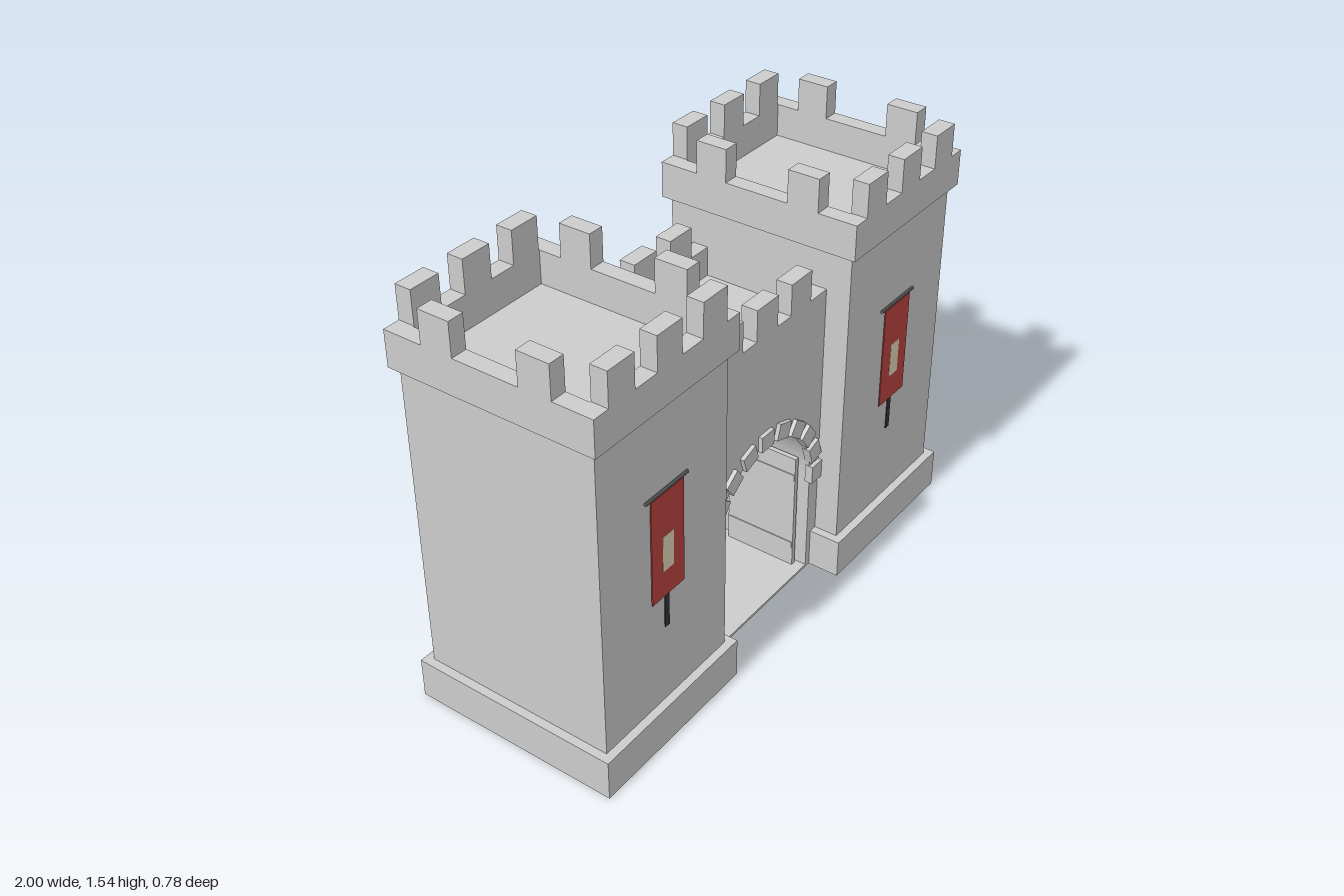
import * as THREE from 'three';

const mat = (color) => new THREE.MeshStandardMaterial({ color, flatShading: true });
const stone = mat(0xcccccc);
const shell = new THREE.MeshStandardMaterial({ color: 0xcccccc, flatShading: true, side: THREE.DoubleSide });
const cloth = mat(0xbb4440);
const cream = mat(0xe0d6b8);
const dark = mat(0x333333);
const iron = mat(0x666666);

function add(parent, name, geometry, material, x = 0, y = 0, z = 0) {
  const mesh = new THREE.Mesh(geometry, material);
  mesh.name = name;
  mesh.position.set(x, y, z);
  parent.add(mesh);
  return mesh;
}

// Box given by its centre in x and z, and its bottom and top heights
function block(parent, name, w, y0, y1, d, x = 0, z = 0, material = stone) {
  return add(parent, name, new THREE.BoxGeometry(w, y1 - y0, d), material, x, (y0 + y1) / 2, z);
}

const ARCH_R = 0.29, ARCH_Y = 0.42;

// Banner on a rod, hanging over an arrow slit; faces +z
function createBanner() {
  const g = new THREE.Group();
  g.name = 'bannerAndSlit';
  block(g, 'arrowSlit', 0.022, 0.45, 0.96, 0.006, 0, 0.36, dark);
  block(g, 'bannerCloth', 0.16, 0.585, 0.975, 0.004, 0, 0.367, cloth);
  block(g, 'bannerEmblem', 0.054, 0.683, 0.815, 0.003, 0, 0.3685, cream);
  const rod = add(g, 'bannerRod', new THREE.CylinderGeometry(0.006, 0.006, 0.205, 8), iron, 0, 0.983, 0.366);
  rod.rotation.z = Math.PI / 2;
  return g;
}

function createTower() {
  const g = new THREE.Group();
  g.name = 'tower';

  // Plinth, open underneath (the bottom face of the box is dropped)
  const plinth = new THREE.BoxGeometry(0.686, 0.15, 0.78);
  const index = Array.from(plinth.index.array);
  index.splice(18, 6);
  plinth.setIndex(index);
  add(g, 'plinth', plinth, shell, 0, 0.075, 0);

  block(g, 'towerBody', 0.624, 0.13, 1.3, 0.72);

  // Overhanging parapet ring
  const W = 0.336, D = 0.384, T = 0.06;
  const rect = (C, w, d) => new C([[-w, -d], [w, -d], [w, d], [-w, d]].map(([x, y]) => new THREE.Vector2(x, y)));
  const ring = rect(THREE.Shape, W, D);
  ring.holes.push(rect(THREE.Path, W - T, D - T));
  const ringGeo = new THREE.ExtrudeGeometry(ring, { depth: 0.13, bevelEnabled: false });
  ringGeo.rotateX(-Math.PI / 2);
  add(g, 'parapet', ringGeo, stone, 0, 1.29, 0);

  // Merlons: three front and back, two on each side
  for (const s of [-1, 1]) {
    for (const x of [-0.215, 0, 0.215]) block(g, 'merlon', 0.116, 1.42, 1.54, T, x, s * (D - T / 2));
    for (const z of [-0.18, 0.18]) block(g, 'merlon', T, 1.42, 1.54, 0.118, s * (W - T / 2), z);
  }

  const front = createBanner();
  const back = createBanner();
  back.rotation.y = Math.PI;
  g.add(front, back);
  return g;
}

function createGatehouse() {
  const g = new THREE.Group();
  g.name = 'gatehouse';

  // Wall block with an arched passage
  const s = new THREE.Shape();
  s.moveTo(-0.35, 0);
  s.lineTo(-ARCH_R, 0);
  s.lineTo(-ARCH_R, ARCH_Y);
  s.absarc(0, ARCH_Y, ARCH_R, Math.PI, 0, true);
  s.lineTo(ARCH_R, 0);
  s.lineTo(0.35, 0);
  s.lineTo(0.35, 1.03);
  s.lineTo(-0.35, 1.03);
  const wall = new THREE.ExtrudeGeometry(s, { depth: 0.54, bevelEnabled: false, curveSegments: 16 });
  add(g, 'gateWall', wall, stone, 0, 0, -0.27);
  block(g, 'passageFloor', 0.6, 0, 0.01, 0.54);

  for (const side of [-1, 1]) {
    // Parapet and merlons
    block(g, 'gateParapet', 0.7, 1.03, 1.14, 0.06, 0, side * 0.24);
    for (const x of [-0.193, 0, 0.193]) block(g, 'gateMerlon', 0.117, 1.14, 1.255, 0.06, x, side * 0.24);

    // Arch stones
    for (let i = 0; i <= 10; i++) {
      const a = (i / 10) * Math.PI, r = 0.315;
      const v = add(g, 'archStone', new THREE.BoxGeometry(0.06, 0.07, 0.03), stone,
        Math.cos(a) * r, ARCH_Y + Math.sin(a) * r, side * 0.27);
      v.rotation.z = a;
    }
  }
  return g;
}

// Open door leaf standing along the passage wall
function createDoor() {
  const g = new THREE.Group();
  g.name = 'doorLeaf';
  block(g, 'doorPanel', 0.018, 0.01, 0.48, 0.28, -0.27, -0.09);
  for (const y of [0.1, 0.4]) block(g, 'doorBand', 0.025, y - 0.012, y + 0.012, 0.275, -0.27, -0.09);
  return g;
}

function createPortcullis() {
  const g = new THREE.Group();
  g.name = 'portcullis';
  g.position.z = 0.05;
  const reach = (d) => Math.sqrt(ARCH_R * ARCH_R - d * d);
  for (let i = -3; i <= 3; i++) {
    const x = i * 0.082;
    block(g, 'portcullisBar', 0.01, 0.555, ARCH_Y + reach(x) + 0.005, 0.01, x, 0);
    const tip = add(g, 'portcullisSpike', new THREE.ConeGeometry(0.009, 0.03, 4), iron, x, 0.543, 0);
    tip.rotation.x = Math.PI;
  }
  for (const y of [0.565, 0.64]) {
    block(g, 'portcullisCrossbar', 2 * reach(y - ARCH_Y), y - 0.006, y + 0.006, 0.012);
  }
  return g;
}

export function createModel() {
  const model = new THREE.Group();
  model.name = 'castleGate';

  for (const side of [-1, 1]) {
    const tower = createTower();
    tower.name = side > 0 ? 'leftTower' : 'rightTower';
    tower.position.x = side * 0.657;
    model.add(tower);

    const door = createDoor();
    door.rotation.y = side > 0 ? Math.PI : 0;
    model.add(door);
  }
  model.add(createGatehouse(), createPortcullis());
  return model;
}
